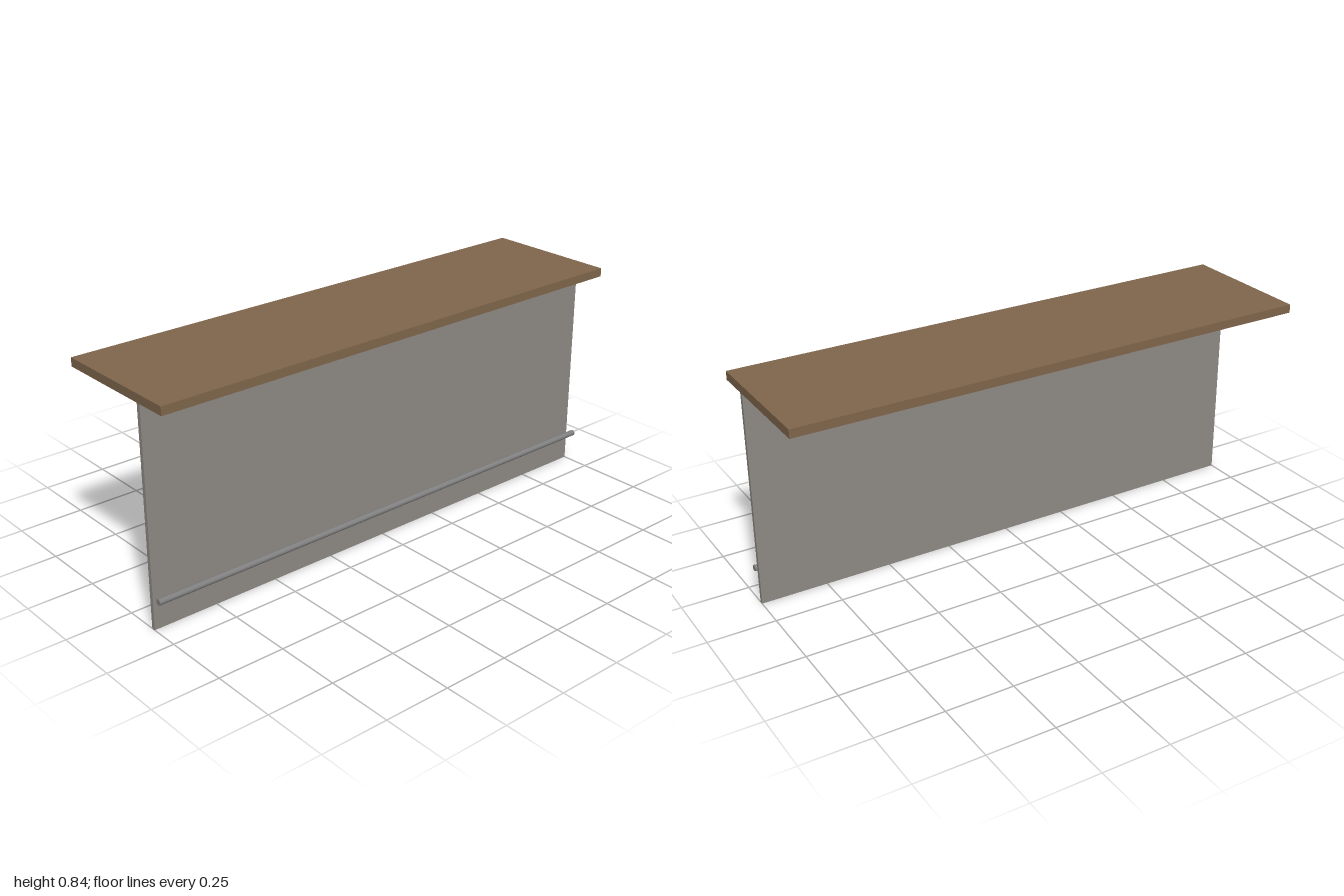
import * as THREE from 'three';

const LENGTH = 2;

function addPart(group, name, geometry, color, y, z) {
  const mesh = new THREE.Mesh(geometry, new THREE.MeshStandardMaterial({ color }));
  mesh.name = name;
  mesh.position.set(0, y, z);
  group.add(mesh);
  return mesh;
}

export function createModel() {
  const group = new THREE.Group();
  group.name = 'barCounter';

  // Wooden top, overhanging mostly to the back
  const topThickness = 0.032;
  const panelHeight = 0.809;
  addPart(group, 'counterTop', new THREE.BoxGeometry(LENGTH, topThickness, 0.52),
    0x80664c, panelHeight + topThickness / 2, 0);

  // Upright front panel carrying the top
  addPart(group, 'frontPanel', new THREE.BoxGeometry(LENGTH, panelHeight, 0.015),
    0x8e8a85, panelHeight / 2, 0.133);

  // Round foot rail running in front of the panel
  const rail = addPart(group, 'footRail', new THREE.CylinderGeometry(0.0115, 0.0115, LENGTH, 16),
    0x808080, 0.121, 0.173);
  rail.rotation.z = Math.PI / 2;

  return group;
}
